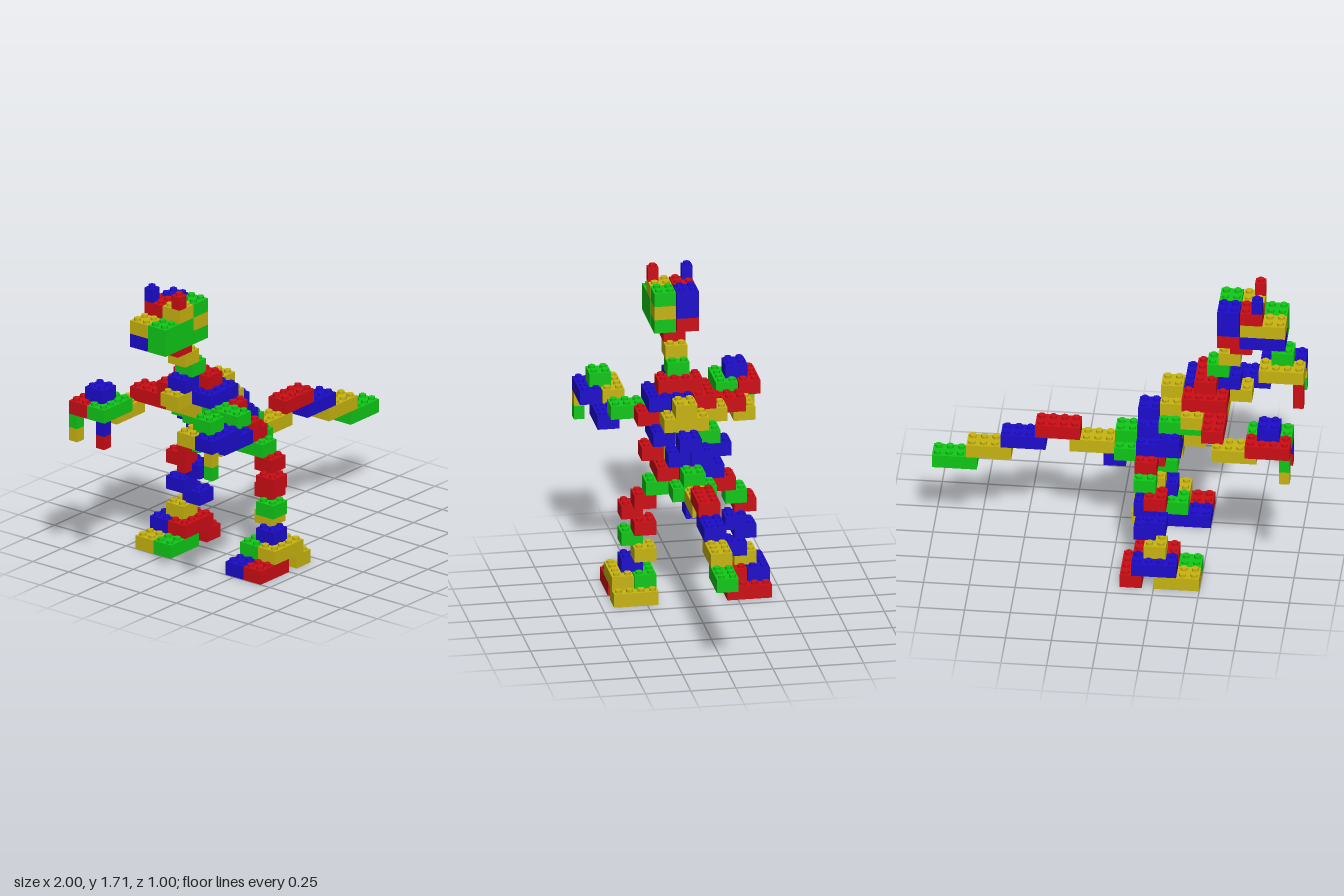
import * as THREE from 'three';
import { mergeGeometries } from 'three/addons/utils/BufferGeometryUtils.js';

const P = 0.06265;   // stud pitch
const H = 0.077;     // brick height
const GAP = 0.005;   // clearance between neighbours
const COLORS = { r: 0xcc0d14, g: 0x10c818, b: 0x1c0ccc, y: 0xc8b410 };

// Brick at grid cell (layer, column along x, row along z), w by d studs
function brickGeometry(layer, i, j, w, d) {
  const parts = [];
  const body = new THREE.BoxGeometry(w * P - GAP, H, d * P - GAP);
  body.translate(-1 - GAP / 2 + (i + w / 2) * P, (layer + 0.5) * H, (j + d / 2 - 8) * P);
  parts.push(body);
  for (let a = 0; a < w; a++) {
    for (let b = 0; b < d; b++) {
      const stud = new THREE.CylinderGeometry(0.019, 0.019, 0.016, 16);
      stud.translate(-1 - GAP / 2 + (i + a + 0.5) * P, (layer + 1) * H + 0.008, (j + b + 0.5 - 8) * P);
      parts.push(stud);
    }
  }
  return mergeGeometries(parts);
}

export function createModel() {
  const model = new THREE.Group();
  model.name = 'brickDinosaur';
  const materials = {};
  for (const key in COLORS) materials[key] = new THREE.MeshStandardMaterial({ color: COLORS[key] });

  // Each brick: [colour, layer, column, row, width, depth]
  function addPart(name, bricks) {
    const group = new THREE.Group();
    group.name = name;
    bricks.forEach(([c, ...cell], n) => {
      const mesh = new THREE.Mesh(brickGeometry(...cell), materials[c]);
      mesh.name = `${name}Brick${n + 1}`;
      group.add(mesh);
    });
    model.add(group);
  }

  // Limbs are laid out on the left (+z); the second colour is for the mirrored side
  function addPair(name, bricks) {
    addPart(name + 'A', bricks.map(([c, ...cell]) => [c[0], ...cell]));
    addPart(name + 'B', bricks.map(([c, l, i, j, w, d]) => [c[1], l, i, 16 - j - d, w, d]));
  }

  addPair('foot', [
    ['yr', 0, 13, 11, 2, 4], ['ry', 0, 8, 13, 4, 2], ['bg', 0, 8, 11, 4, 2],
    ['yb', 1, 10, 13, 4, 2], ['gr', 1, 10, 11, 4, 2],
  ]);

  // Zigzag leg of 2 x 2 bricks
  addPair('leg', ['by', 'yb', 'gb', 'rb', 'rr', 'rg'].map(
    (c, n) => [c, n + 2, 11 + n % 2, 12 - n % 2, 2, 2]));

  addPair('hip', [['gr', 8, 12, 10, 2, 2]]);

  addPair('arm', [
    ['gr', 12, 6, 10, 2, 4],
    ['by', 11, 3, 13, 4, 2],
  ]);

  addPair('hand', [
    ['br', 12, 0, 14, 4, 2], ['yg', 12, 0, 12, 4, 2], ['gb', 13, 1, 13, 2, 2],
  ]);

  addPair('finger', [
    ['yg', 11, 0, 15, 1, 1], ['gy', 10, 0, 15, 1, 1],
    ['rb', 11, 0, 12, 1, 1], ['rr', 10, 0, 12, 1, 1],
  ]);

  addPart('pelvis', [
    ['b', 7, 15, 7, 2, 2],
    ['y', 8, 10, 7, 2, 2], ['g', 8, 12, 6, 2, 4], ['g', 8, 14, 6, 2, 4],
    ['y', 9, 8, 7, 2, 2], ['r', 9, 10, 9, 4, 2], ['r', 9, 10, 7, 4, 2],
    ['b', 9, 10, 5, 4, 2], ['g', 9, 14, 7, 2, 2],
  ]);

  addPart('torso', [
    ['g', 10, 8, 7, 2, 2], ['r', 10, 10, 10, 2, 2], ['y', 10, 10, 6, 2, 4],
    ['b', 10, 10, 4, 2, 2], ['b', 10, 12, 8, 2, 2], ['b', 10, 12, 6, 2, 2],
    ['b', 11, 8, 9, 4, 2], ['g', 11, 7, 7, 5, 2], ['g', 11, 8, 5, 4, 2], ['b', 11, 12, 7, 2, 2],
  ]);

  addPart('chest', [
    ['y', 12, 6, 6, 4, 4], ['r', 12, 8, 10, 2, 2], ['y', 12, 8, 4, 2, 2], ['y', 12, 10, 6, 2, 4],
    ['y', 13, 4, 7, 2, 2], ['b', 13, 6, 9, 4, 2], ['b', 13, 6, 7, 4, 2],
    ['r', 13, 6, 5, 4, 2], ['y', 13, 10, 7, 2, 2],
    ['b', 14, 5, 7, 2, 2], ['r', 14, 7, 6, 2, 4],
  ]);

  addPart('neck', ['g', 'y', 'r'].map((c, n) => [c, 15 + n, 6 - n, 7, 2, 2]));

  addPair('headHalf', [
    ['gb', 18, 1, 8, 4, 2], ['gr', 18, 5, 8, 2, 2],
    ['gy', 19, 1, 8, 4, 2], ['yb', 19, 5, 8, 2, 2],
    ['yr', 20, 3, 8, 2, 2], ['gb', 20, 5, 8, 2, 2],
  ]);

  addPair('horn', [['rb', 21, 3, 9, 1, 1]]);

  // Tail of overlapping 4 x 2 bricks
  addPart('tail', [['y', 8], ['r', 9], ['b', 8], ['y', 7], ['g', 6]].map(
    ([c, layer], n) => [c, layer, 16 + 3 * n, 7, 4, 2]));

  return model;
}
